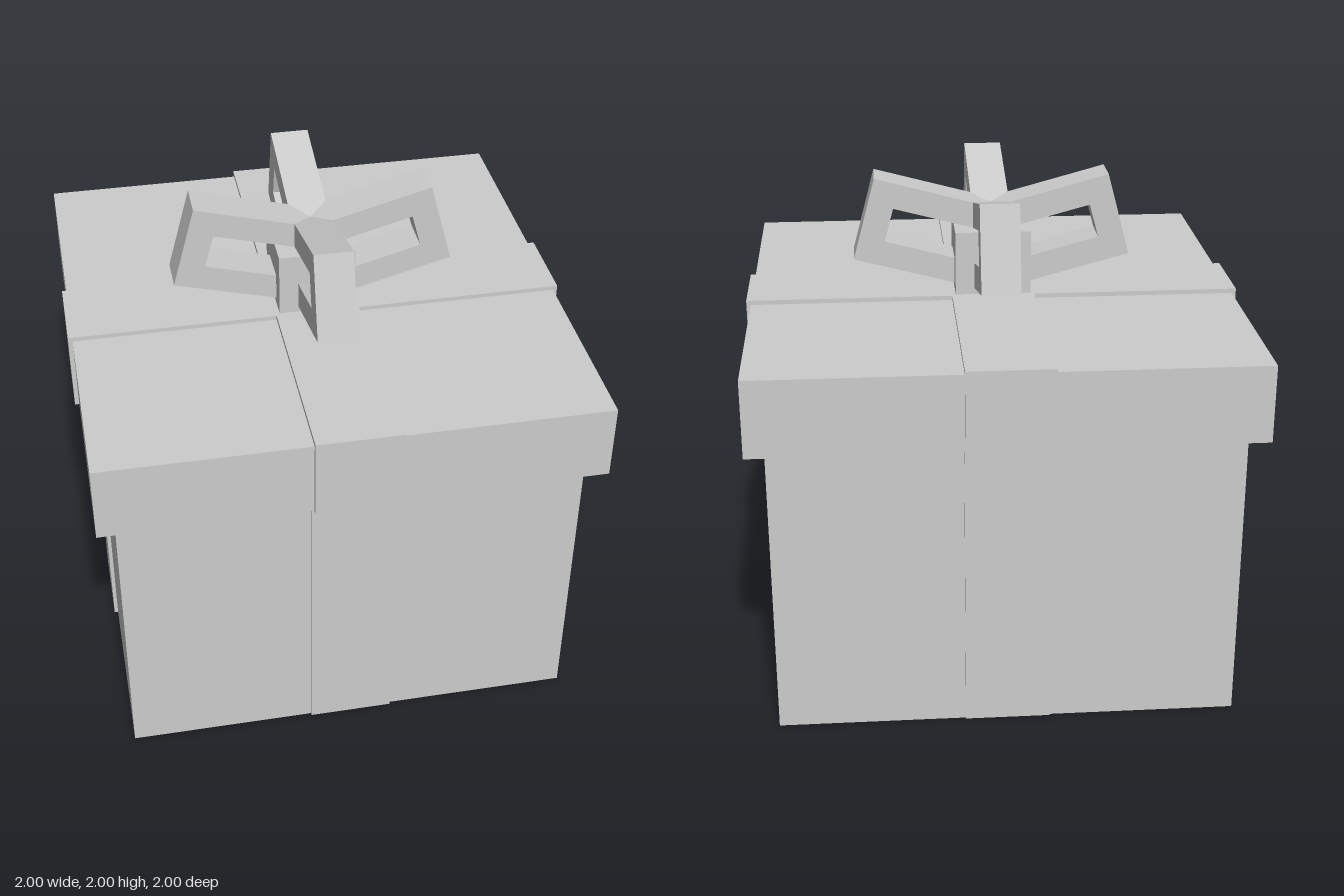
import * as THREE from 'three';

export function createModel() {
  const model = new THREE.Group();
  model.name = 'giftBox';
  const paper = new THREE.MeshStandardMaterial({ color: 0xcccccc });
  paper.name = 'plain grey';

  const add = (geometry, name, parent = model) => {
    const mesh = new THREE.Mesh(geometry, paper);
    mesh.name = name;
    parent.add(mesh);
    return mesh;
  };

  // Square block between two heights
  const block = (name, half, y0, y1) =>
    add(new THREE.BoxGeometry(half * 2, y1 - y0, half * 2), name).position.y = (y0 + y1) / 2;

  // Plus-shaped prism: both ribbon bands in one solid
  const cross = (name, reach, half, y0, y1) => {
    const shape = new THREE.Shape([
      [half, half], [half, reach], [-half, reach], [-half, half],
      [-reach, half], [-reach, -half], [-half, -half], [-half, -reach],
      [half, -reach], [half, -half], [reach, -half], [reach, half],
    ].map(([x, y]) => new THREE.Vector2(x, y)));
    const geometry = new THREE.ExtrudeGeometry(shape, { depth: y1 - y0, bevelEnabled: false });
    geometry.rotateX(-Math.PI / 2);
    geometry.translate(0, y0, 0);
    add(geometry, name);
  };

  block('boxBody', 0.91, 0, 1.21);
  cross('bodyRibbon', 0.925, 0.168, 0.005, 1.21);
  block('lid', 0.983, 1.203, 1.512);
  cross('lidRibbon', 1, 0.168, 1.2, 1.53);
  block('bowKnot', 0.153, 1.52, 1.79);

  // Bow: four tilted loops around the knot
  const bow = new THREE.Group();
  bow.name = 'bow';
  model.add(bow);
  const points = (list) => list.map(([x, y]) => new THREE.Vector2(x, y));
  const outline = new THREE.Shape(points([[0, 1.515], [0.563, 1.665], [0.473, 2], [0, 1.873]]));
  outline.holes.push(new THREE.Path(points([[0.08, 1.643], [0.08, 1.789], [0.399, 1.874], [0.436, 1.738]])));
  const loopGeometry = new THREE.ExtrudeGeometry(outline, { depth: 0.154, bevelEnabled: false });
  loopGeometry.translate(0, 0, -0.077);
  ['left', 'back', 'right', 'front'].forEach((side, i) => {
    add(loopGeometry, side + 'BowLoop', bow).rotation.y = i * Math.PI / 2;
  });

  return model;
}
